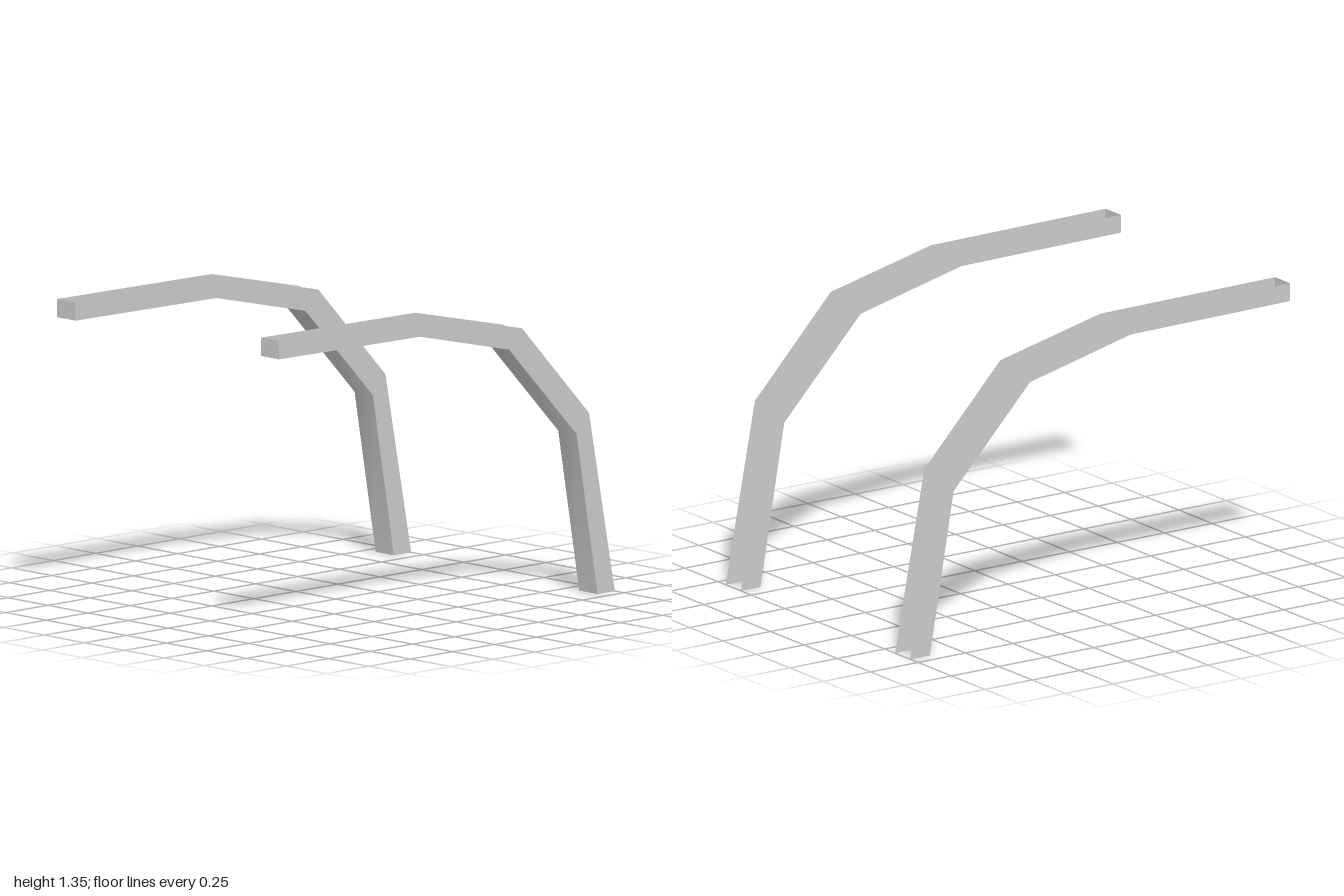
import * as THREE from 'three';

// Side profile as [z, y]: closed inner edge and open outer edge of the channel
const inner = [[1, 1.27], [0.16, 1.262], [-0.37, 1.138], [-0.772, 0.717], [-0.897, 0]];
const outer = [[1, 1.35], [0.08, 1.342], [-0.447, 1.222], [-0.847, 0.8], [-1, 0]];
const halfWidth = 0.057;
const railX = 0.635;

const material = new THREE.MeshStandardMaterial({ color: 0xcccccc, side: THREE.DoubleSide });

// Sheet between two matching rows of points, smooth along its length
function sheet(name, rowA, rowB) {
  const index = [];
  const n = rowA.length;
  for (let i = 0; i < n - 1; i++) {
    index.push(i, n + i, i + 1, i + 1, n + i, n + i + 1);
  }
  const geometry = new THREE.BufferGeometry();
  geometry.setAttribute('position', new THREE.Float32BufferAttribute([...rowA, ...rowB].flat(), 3));
  geometry.setIndex(index);
  geometry.computeVertexNormals();
  const mesh = new THREE.Mesh(geometry, material);
  mesh.name = name;
  return mesh;
}

const row = (profile, x) => profile.map(([z, y]) => [x, y, z]);

// One bent channel: floor, two side walls and a front end plate; open outward and at the foot
function channel(name) {
  const rail = new THREE.Group();
  rail.name = name;
  const w = halfWidth;
  rail.add(
    sheet('channelFloor', row(inner, -w), row(inner, w)),
    sheet('leftWall', row(inner, w), row(outer, w)),
    sheet('rightWall', row(outer, -w), row(inner, -w)),
    sheet('frontEndPlate', row([outer[0], inner[0]], -w), row([outer[0], inner[0]], w)),
  );
  return rail;
}

export function createModel() {
  const model = new THREE.Group();
  model.name = 'bentRails';
  for (const side of [1, -1]) {
    const rail = channel(side > 0 ? 'leftRail' : 'rightRail');
    rail.position.x = side * railX;
    model.add(rail);
  }
  return model;
}
